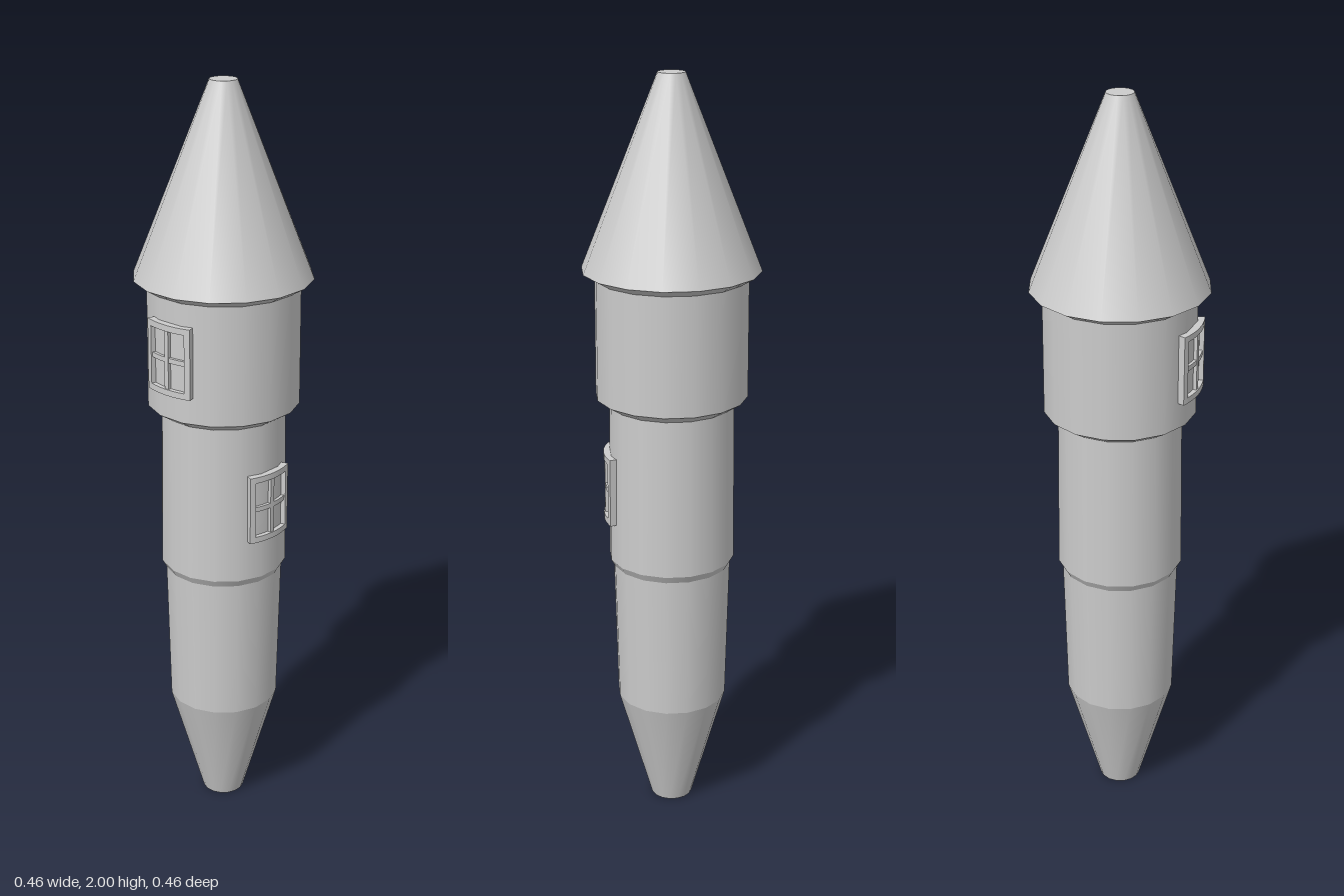
import * as THREE from 'three';

const grey = new THREE.MeshStandardMaterial({ color: 0xcccccc });
const SIDES = 16;

function add(parent, geometry, name) {
  const mesh = new THREE.Mesh(geometry, grey);
  mesh.name = name;
  parent.add(mesh);
  return mesh;
}

// One tapered ring of the tower between two heights
function section(parent, name, r0, y0, r1, y1) {
  const geo = new THREE.CylinderGeometry(r1, r0, y1 - y0, SIDES, 1, true);
  geo.translate(0, (y0 + y1) / 2, 0);
  add(parent, geo, name);
}

// A flat cap closing the tower, facing up or down
function cap(parent, name, r, y, up) {
  const geo = new THREE.CircleGeometry(r, SIDES);
  geo.rotateX(up ? -Math.PI / 2 : Math.PI / 2);
  geo.translate(0, y, 0);
  add(parent, geo, name);
}

// A box wrapped round the tower axis; u runs along the arc at the outer radius
function curvedBox(w, h, u, v, inner, outer) {
  const geo = new THREE.BoxGeometry(w, h, outer - inner, 6, 1, 1);
  geo.translate(u, v, (inner + outer) / 2);
  const p = geo.attributes.position;
  for (let i = 0; i < p.count; i++) {
    const a = p.getX(i) / outer, r = p.getZ(i);
    p.setXYZ(i, r * Math.sin(a), p.getY(i), r * Math.cos(a));
  }
  geo.computeVertexNormals();
  return geo;
}

// Four-pane window following the curve of the wall
function makeWindow(name, wall, y, angle) {
  const group = new THREE.Group();
  group.name = name;
  const W = 0.145, H = 0.184, bar = 0.016;
  const inner = wall - 0.012, outer = wall + 0.016;
  for (const s of [-1, 1]) {
    add(group, curvedBox(bar, H, s * (W - bar) / 2, 0, inner, outer), 'frameSide');
    add(group, curvedBox(W - 2 * bar, bar, 0, s * (H - bar) / 2, inner, outer), s > 0 ? 'frameTop' : 'frameSill');
  }
  add(group, curvedBox(bar * 0.8, H - 2 * bar, 0, 0, inner, outer - 0.003), 'mullion');
  add(group, curvedBox(W - 2 * bar, bar * 0.8, 0, 0, inner, outer - 0.004), 'transom');
  add(group, curvedBox(W - bar, H - bar, 0, 0, inner, wall + 0.004), 'glass');
  group.position.y = y;
  group.rotation.y = angle * Math.PI / 180;
  return group;
}

export function createModel() {
  const model = new THREE.Group();
  model.name = 'tower';

  // Wall sections from the foot to the roof: name, then radius and height at each end
  const sections = [
    ['taperedFoot', 0.056, 0, 0.147, 0.32],
    ['lowerWall', 0.147, 0.32, 0.156, 0.71],
    ['lowerStep', 0.156, 0.71, 0.167, 0.73],
    ['middleWall', 0.167, 0.73, 0.162, 1.155],
    ['upperStep', 0.162, 1.155, 0.198, 1.178],
    ['upperWall', 0.198, 1.178, 0.197, 1.49],
    ['eaves', 0.197, 1.49, 0.23, 1.51],
    ['roof', 0.23, 1.51, 0.035, 2],
  ];
  for (const s of sections) section(model, ...s);
  cap(model, 'footCap', 0.056, 0, false);
  cap(model, 'roofCap', 0.035, 2, true);

  // Windows
  model.add(makeWindow('lowerWindow', 0.163, 0.931, 32));
  model.add(makeWindow('upperWindow', 0.197, 1.34, -56));
  return model;
}
